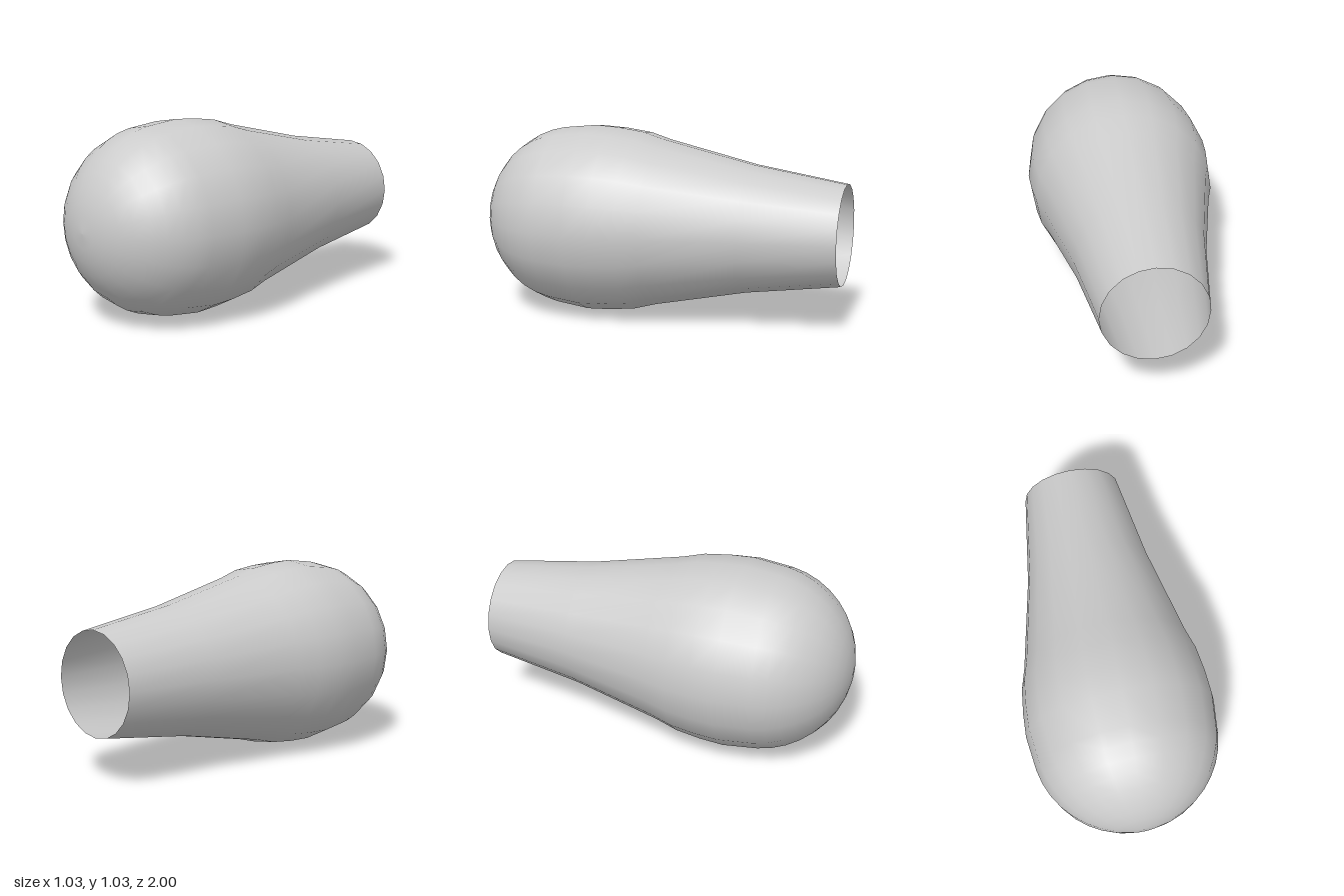
import * as THREE from 'three';

export function createModel() {
  const group = new THREE.Group();

  // Neck and bulge, from the open rear end forward: [radius, position along the axis]
  const profile = [
    [0.27, -1], [0.345, -0.5], [0.455, 0], [0.49, 0.12], [0.508, 0.26], [0.515, 0.39],
  ].map(([r, z]) => new THREE.Vector2(r, z));

  // Round nose: a spherical cap of radius 0.5
  for (let i = 9; i >= 0; i--) {
    const a = THREE.MathUtils.degToRad(i * 9);
    profile.push(new THREE.Vector2(0.5 * Math.sin(a), 0.5 + 0.5 * Math.cos(a)));
  }

  // Turn the profile about its axis, then lay it along +z
  const geometry = new THREE.LatheGeometry(profile, 20);
  geometry.rotateX(Math.PI / 2);
  const material = new THREE.MeshStandardMaterial({ color: 0xcccccc, side: THREE.DoubleSide });
  const bulb = new THREE.Mesh(geometry, material);
  bulb.name = 'bulbShell';
  bulb.position.y = 0.518;
  group.add(bulb);

  return group;
}
